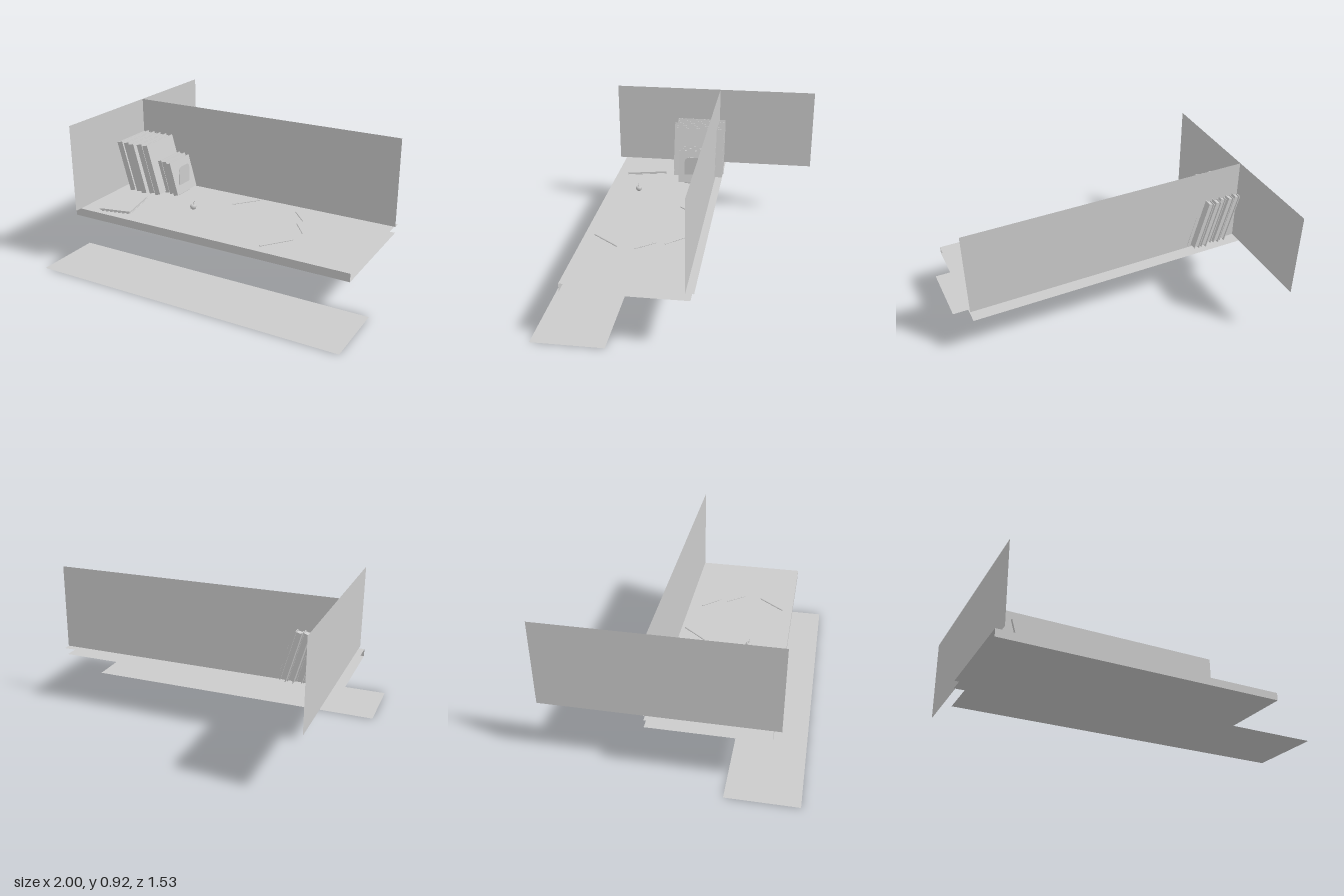
import * as THREE from 'three';

const grey = new THREE.MeshStandardMaterial({ color: 0xcccccc, side: THREE.DoubleSide });

function add(parent, name, geometry, x = 0, y = 0, z = 0) {
  const mesh = new THREE.Mesh(geometry, grey);
  mesh.name = name;
  mesh.position.set(x, y, z);
  parent.add(mesh);
  return mesh;
}

// Horizontal sheet spanning the given x and z ranges
function sheet(parent, name, x0, x1, z0, z1, y) {
  const g = new THREE.PlaneGeometry(x1 - x0, z1 - z0).rotateX(-Math.PI / 2);
  return add(parent, name, g, (x0 + x1) / 2, y, (z0 + z1) / 2);
}

// Box given by its minimum corner and size
function block(parent, name, x, y, z, w, h, d) {
  return add(parent, name, new THREE.BoxGeometry(w, h, d), x + w / 2, y + h / 2, z + d / 2);
}

// Hardback: two covers and a spine around a recessed page block, leaning about its lower left edge
function book(parent, name, x, z0, z1, height, thickness, lean) {
  const b = new THREE.Group();
  b.name = name;
  const c = 0.005, depth = z1 - z0;
  block(b, 'leftCover', 0, 0, 0, c, height, depth);
  block(b, 'rightCover', thickness - c, 0, 0, c, height, depth);
  block(b, 'spine', c, 0, depth - c, thickness - 2 * c, height, c);
  block(b, 'pages', c, 0.008, 0.01, thickness - 2 * c, height - 0.016, depth - 0.01 - c);
  b.position.set(x, 0.381, z0);
  b.rotation.z = lean;
  parent.add(b);
}

// Pencil lying between two points on the desk, with a tapered tip at the second
function pencil(parent, x0, z0, x1, z1, radius) {
  const p = new THREE.Group();
  p.name = 'pencil';
  const length = Math.hypot(x1 - x0, z1 - z0), tip = 0.02;
  add(p, 'pencilShaft', new THREE.CylinderGeometry(radius, radius, length - tip, 8), 0, (length - tip) / 2);
  add(p, 'pencilTip', new THREE.ConeGeometry(radius, tip, 8), 0, length - tip / 2);
  p.position.set(x0, 0.377, z0);
  p.quaternion.setFromUnitVectors(
    new THREE.Vector3(0, 1, 0),
    new THREE.Vector3(x1 - x0, 0, z1 - z0).normalize());
  parent.add(p);
}

export function createModel() {
  const model = new THREE.Group();
  model.name = 'deskScene';

  // Floor and walls
  sheet(model, 'floor', -1, 1, 0.335, 0.765, 0);
  add(model, 'backWall', new THREE.PlaneGeometry(1.805, 0.547), 0.0725, 0.6485, -0.108);
  add(model, 'sideWall', new THREE.PlaneGeometry(1.39, 0.547).rotateY(Math.PI / 2), -0.832, 0.6485, -0.07);

  // Desk: top and underside sheets joined by a front edge, open at the ends and back
  const desk = new THREE.Group();
  desk.name = 'desk';
  model.add(desk);
  sheet(desk, 'deskTop', -0.87, 0.968, -0.135, 0.58, 0.375);
  sheet(desk, 'deskUnderside', -0.87, 0.968, -0.135, 0.58, 0.325);
  add(desk, 'deskFrontEdge', new THREE.PlaneGeometry(1.838, 0.05), 0.049, 0.35, 0.58);
  sheet(desk, 'rearLedge', -0.832, 0.975, -0.155, -0.108, 0.374);

  // Leaning books
  const books = new THREE.Group();
  books.name = 'books';
  model.add(books);
  const tallBacks = [-0.148, -0.152, -0.138, -0.16, -0.155];
  tallBacks.forEach((z, i) =>
    book(books, 'tallBook', -0.742 + i * 0.048, z, z + 0.333, 0.33, 0.039, 0.27));
  const smallBacks = [-0.11, -0.105, -0.088];
  smallBacks.forEach((z, i) =>
    book(books, 'smallBook', -0.518 + i * 0.041, z, z + 0.22, 0.216, 0.033, 0.26));

  // Bookend: upright plate with rounded top corners and a flat foot
  const bookend = new THREE.Group();
  bookend.name = 'bookend';
  model.add(bookend);
  const s = new THREE.Shape(), w = 0.06, h = 0.19, r = 0.035;
  s.moveTo(-w, 0);
  s.lineTo(w, 0);
  s.lineTo(w, h - r);
  s.absarc(w - r, h - r, r, 0, Math.PI / 2);
  s.absarc(-w + r, h - r, r, Math.PI / 2, Math.PI);
  s.closePath();
  const plate = new THREE.ExtrudeGeometry(s, { depth: 0.003, bevelEnabled: false, curveSegments: 8 });
  add(bookend, 'bookendPlate', plate.rotateY(Math.PI / 2), -0.421, 0.376, 0.03);
  block(bookend, 'bookendFoot', -0.56, 0.376, -0.03, 0.14, 0.003, 0.12);

  // Notebook lying at an angle
  const notebook = new THREE.Group();
  notebook.name = 'notebook';
  notebook.position.set(-0.638, 0.374, 0.394);
  notebook.rotation.y = 0.22;
  model.add(notebook);
  block(notebook, 'notebookBackCover', -0.102, 0, -0.136, 0.204, 0.003, 0.272);
  block(notebook, 'notebookPages', -0.099, 0.003, -0.133, 0.196, 0.011, 0.266);
  block(notebook, 'notebookFrontCover', -0.102, 0.014, -0.136, 0.204, 0.003, 0.272);

  // Apple with a dimpled top and a curved stalk
  const apple = new THREE.Group();
  apple.name = 'apple';
  apple.position.set(-0.143, 0.445, 0.354);
  model.add(apple);
  const profile = [[0, -0.013], [0.008, -0.016], [0.016, -0.009], [0.02, 0.003],
    [0.016, 0.013], [0.008, 0.016], [0, 0.012]].map(([x, y]) => new THREE.Vector2(x, y));
  add(apple, 'appleBody', new THREE.LatheGeometry(profile, 20));
  const stalk = new THREE.QuadraticBezierCurve3(
    new THREE.Vector3(0, 0.012, 0), new THREE.Vector3(0.002, 0.026, 0), new THREE.Vector3(0.01, 0.038, 0.002));
  add(apple, 'appleStalk', new THREE.TubeGeometry(stalk, 8, 0.0015, 6));

  // Scattered pencils
  const pencils = new THREE.Group();
  pencils.name = 'pencils';
  model.add(pencils);
  pencil(pencils, 0.08, -0.085, -0.045, 0.068, 0.005);
  pencil(pencils, 0.365, -0.022, 0.47, 0.092, 0.004);
  pencil(pencils, 0.45, 0.138, 0.545, 0.257, 0.004);
  pencil(pencils, 0.4, 0.517, 0.53, 0.35, 0.005);

  return model;
}
